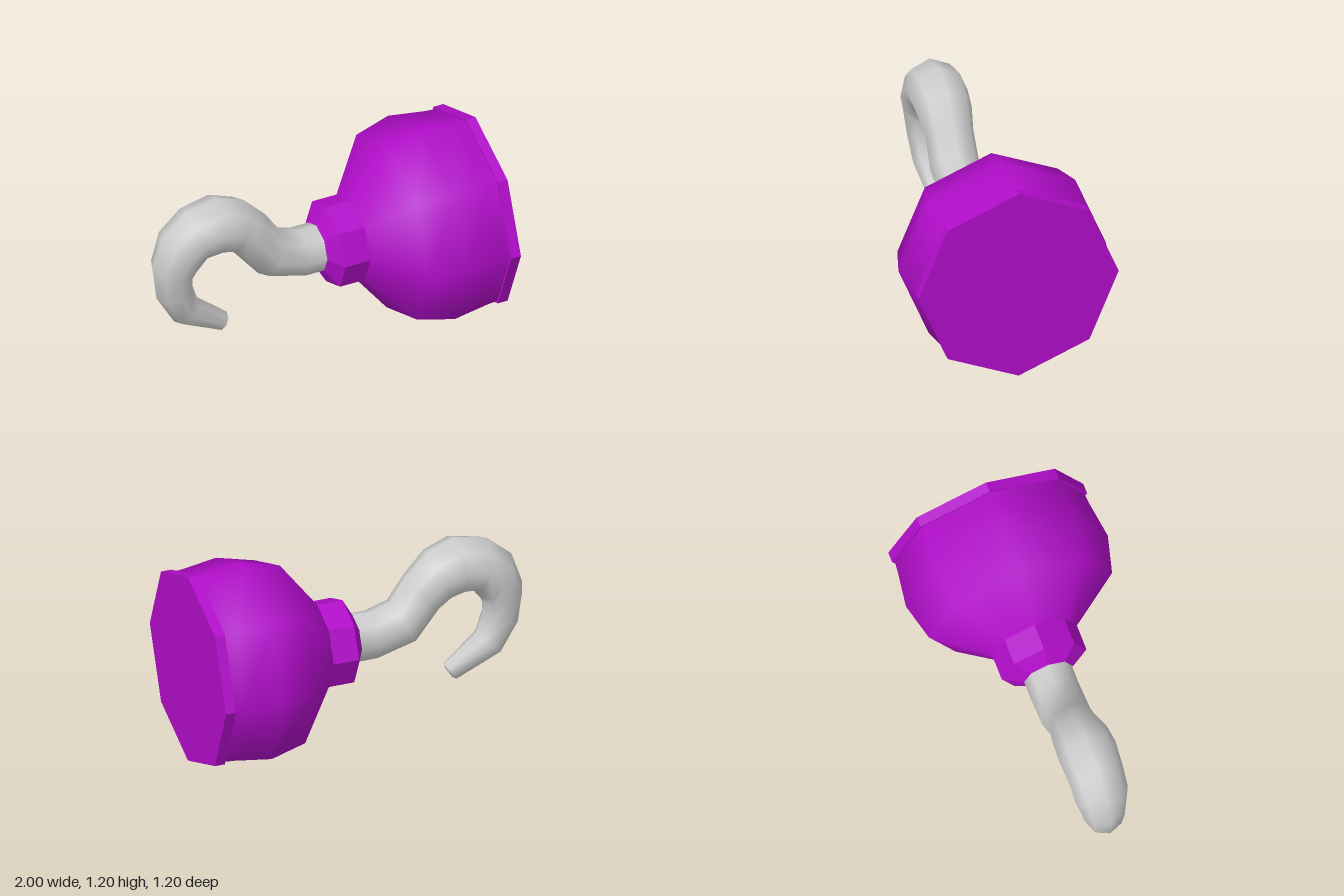
import * as THREE from 'three';
import { toCreasedNormals } from 'three/addons/utils/BufferGeometryUtils.js';

const SIDES = 8;
const AXIS_Y = 0.604;

// Octagonal turned part along x; profile entries are [x, radius]
function turned(name, profile, material, faceted) {
  const points = profile.map(([x, r]) => new THREE.Vector2(r, x));
  let geometry = new THREE.LatheGeometry(points, SIDES);
  if (faceted) geometry = toCreasedNormals(geometry, 0.3);
  geometry.rotateZ(-Math.PI / 2);
  geometry.translate(0, AXIS_Y, 0);
  const mesh = new THREE.Mesh(geometry, material);
  mesh.name = name;
  return mesh;
}

// Smooth tube through round sections, each given by its outer and inner edge point
function hookGeometry(sections) {
  const positions = [], index = [];
  for (const [ox, oy, ix, iy] of sections) {
    const cx = (ox + ix) / 2, cy = (oy + iy) / 2;
    const radius = Math.hypot(ox - ix, oy - iy) / 2;
    for (let j = 0; j < SIDES; j++) {
      const a = (j / SIDES) * Math.PI * 2;
      positions.push(cx + (ox - cx) * Math.cos(a), cy + (oy - cy) * Math.cos(a), radius * Math.sin(a));
    }
  }
  for (let i = 0; i < sections.length - 1; i++) {
    for (let j = 0; j < SIDES; j++) {
      const k = (j + 1) % SIDES;
      const a = i * SIDES + j, b = i * SIDES + k, c = a + SIDES, d = b + SIDES;
      index.push(a, c, b, b, c, d);
    }
  }
  // Tip cap
  const [ox, oy, ix, iy] = sections[sections.length - 1];
  const tip = positions.length / 3, last = tip - SIDES;
  positions.push((ox + ix) / 2, (oy + iy) / 2, 0);
  for (let j = 0; j < SIDES; j++) index.push(last + j, tip, last + ((j + 1) % SIDES));

  const geometry = new THREE.BufferGeometry();
  geometry.setAttribute('position', new THREE.Float32BufferAttribute(positions, 3));
  geometry.setIndex(index);
  geometry.computeVertexNormals();
  return geometry;
}

export function createModel() {
  const purple = new THREE.MeshStandardMaterial({ color: 0xb10dc9 });
  purple.name = 'purple';
  const grey = new THREE.MeshStandardMaterial({ color: 0xcccccc });
  grey.name = 'light grey';

  const group = new THREE.Group();
  group.name = 'hookHand';

  // Cup, its end rim and the collar that holds the hook
  group.add(
    turned('cup', [[0.225, 0.25], [0.45, 0.545], [0.665, 0.6], [0.88, 0.57], [0.945, 0.565]], purple, false),
    turned('rim', [[0.94, 0], [0.94, 0.58], [1, 0.58], [1, 0]], purple, true),
    turned('collar', [[0.015, 0], [0.015, 0.145], [0.075, 0.252], [0.227, 0.252]], purple, true),
  );

  // Hook, from the collar round to the tip
  const hook = new THREE.Mesh(hookGeometry([
    [0.03, 0.748, 0.03, 0.465],
    [-0.095, 0.748, -0.095, 0.465],
    [-0.21, 0.785, -0.345, 0.535],
    [-0.3, 0.92, -0.49, 0.715],
    [-0.435, 1.06, -0.55, 0.765],
    [-0.595, 1.12, -0.62, 0.785],
    [-0.79, 1.08, -0.7, 0.775],
    [-0.935, 0.955, -0.75, 0.71],
    [-1, 0.765, -0.76, 0.68],
    [-0.975, 0.555, -0.76, 0.6],
    [-0.865, 0.365, -0.725, 0.49],
    [-0.6, 0.235, -0.54, 0.333],
    [-0.578, 0.247, -0.54, 0.305],
  ]), grey);
  hook.name = 'hook';
  group.add(hook);
  return group;
}
